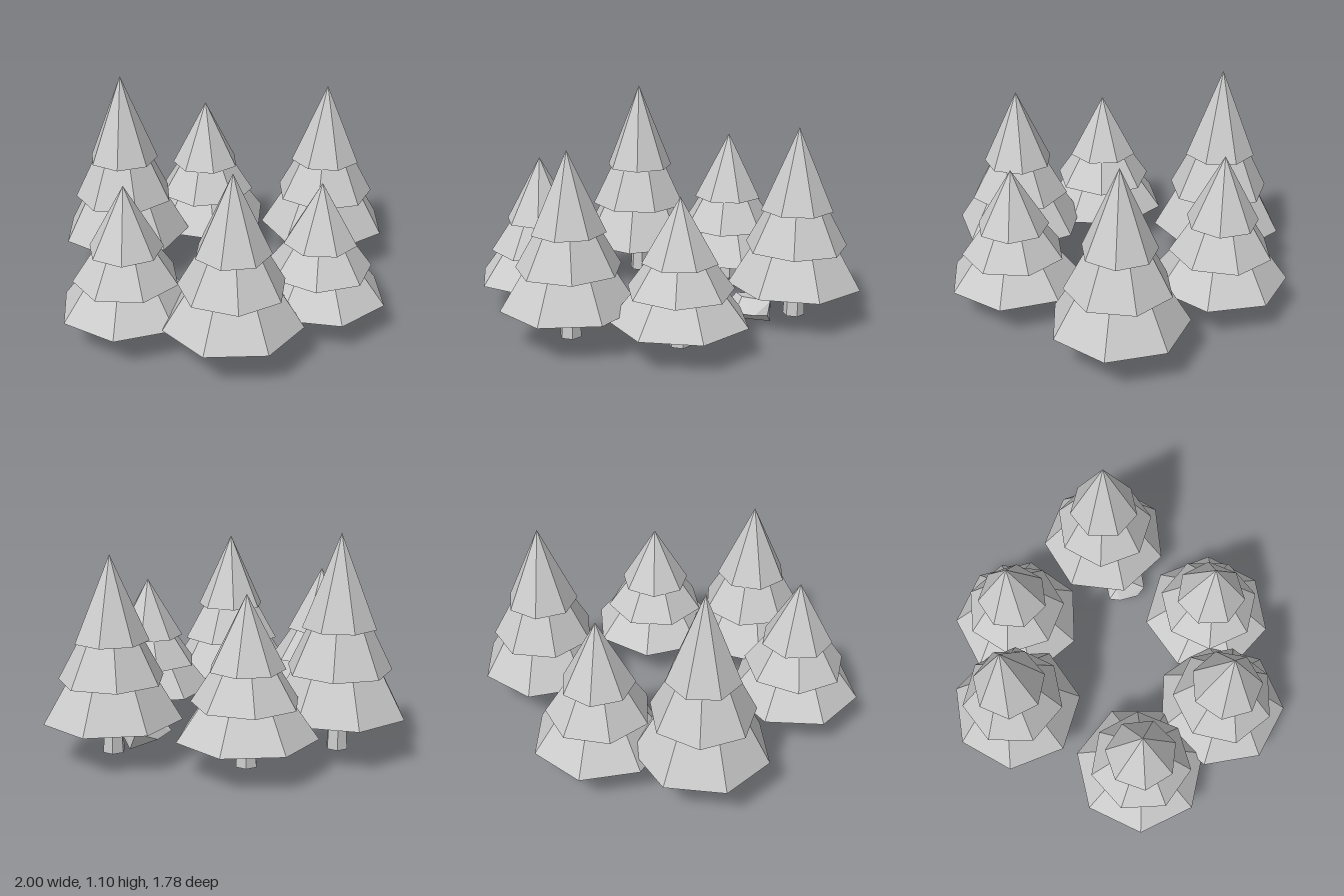
import * as THREE from 'three';
import { ConvexGeometry } from 'three/addons/geometries/ConvexGeometry.js';

const GROUND = 0.035;   // height of the trunk bases
const SIDES = 7;

// Foliage tiers: base height and cone height as fractions of the tree, and radius
const TIERS = [
  { base: 0.177, height: 0.58, radius: 0.342 },
  { base: 0.373, height: 0.5, radius: 0.263 },
  { base: 0.572, height: 0.428, radius: 0.184 },
];

// x, z, top of the tree, direction of one foliage corner in degrees
const TREES = [
  [-0.33, -0.545, 1.105, 30.3],
  [0.19, -0.55, 0.86, 11.3],
  [0.66, -0.063, 1.01, 8],
  [0.211, 0.5, 0.765, 4.6],
  [-0.33, 0.545, 0.96, 42.7],
  [-0.66, 0.108, 0.812, 26.5],
];

function makeMesh(name, geometry, material) {
  const mesh = new THREE.Mesh(geometry, material);
  mesh.name = name;
  return mesh;
}

function createTree(height, corner, material) {
  const tree = new THREE.Group();

  // Tapered six-sided trunk, ending inside the lowest tier
  const trunkHeight = height * 0.25;
  const trunk = makeMesh('trunk', new THREE.CylinderGeometry(0.043, 0.056, trunkHeight, 6), material);
  trunk.position.y = trunkHeight / 2;
  trunk.rotation.y = Math.PI / 2;
  tree.add(trunk);

  // Stacked cones, each twisted half a radian from the one below
  TIERS.forEach((tier, i) => {
    const h = tier.height * height;
    const cone = makeMesh('foliageTier' + (i + 1), new THREE.ConeGeometry(tier.radius, h, SIDES), material);
    cone.position.y = tier.base * height + h / 2;
    cone.rotation.y = THREE.MathUtils.degToRad(90 - corner) + i * 0.5;
    tree.add(cone);
  });
  return tree;
}

function createRock(material) {
  // Corners of a rough faceted boulder
  const corners = [
    [0.325, 0.083, 0.02], [0.335, 0.08, -0.04], [0.36, 0.06, 0.12],
    [0.37, 0.142, 0], [0.415, 0.147, 0.07], [0.4, 0.088, 0.158],
    [0.558, 0.13, 0.05], [0.555, 0.07, 0.1], [0.55, 0.003, 0],
    [0.41, 0.03, 0.07], [0.42, 0.05, -0.055], [0.54, 0.1, -0.055],
    [0.44, 0.13, -0.04], [0.5, 0.08, 0.145],
  ];
  const geometry = new ConvexGeometry(corners.map((c) => new THREE.Vector3(...c)));
  return makeMesh('rock', geometry, material);
}

export function createModel() {
  const model = new THREE.Group();
  model.name = 'pineGrove';
  const grey = new THREE.MeshStandardMaterial({ color: 0xcccccc, flatShading: true });
  grey.name = 'light grey';

  TREES.forEach(([x, z, top, corner], i) => {
    const tree = createTree(top - GROUND, corner, grey);
    tree.name = 'pineTree' + (i + 1);
    tree.position.set(x, GROUND, z);
    model.add(tree);
  });
  model.add(createRock(grey));
  return model;
}
